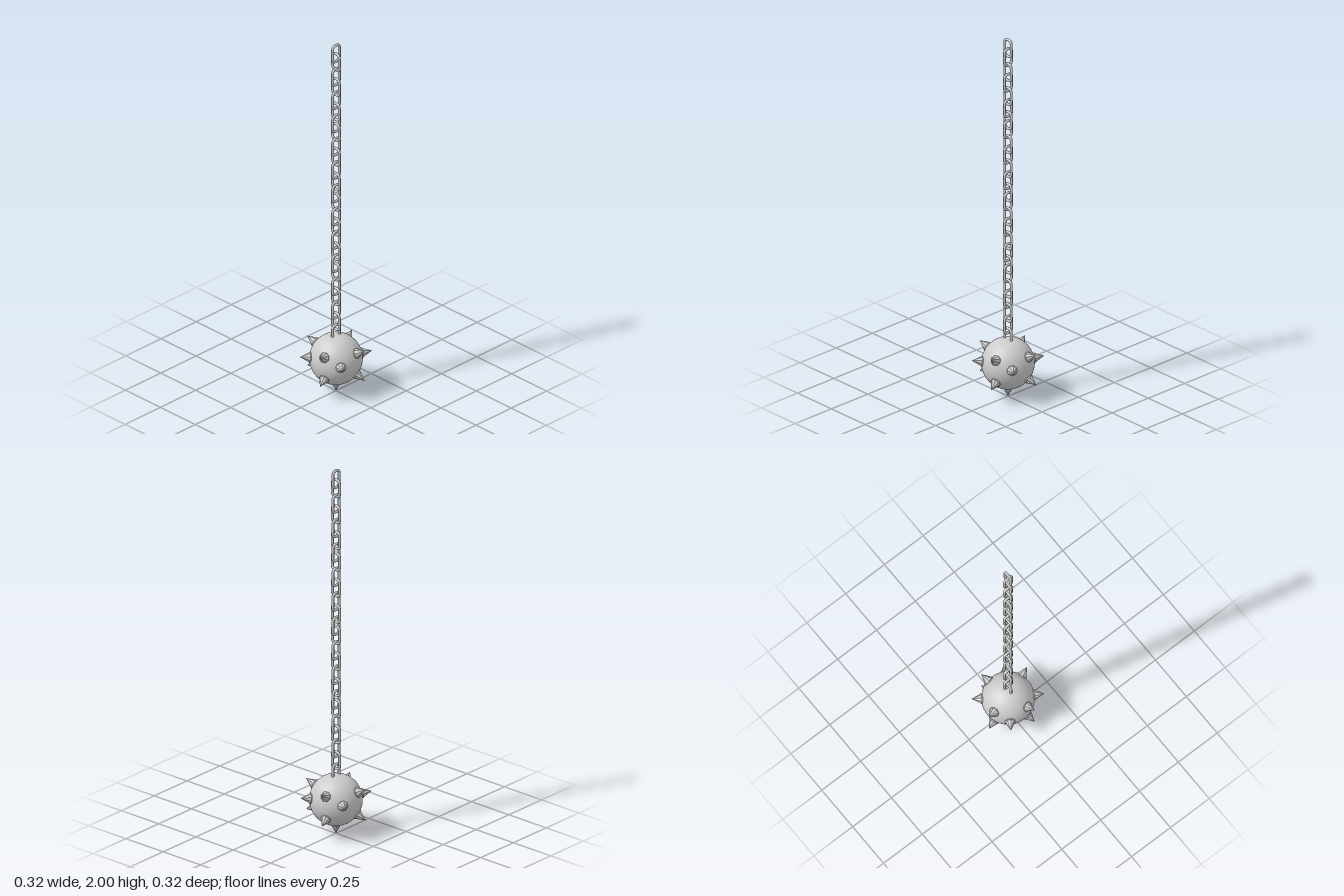
import * as THREE from 'three';

const BALL_Y = 0.187, BALL_R = 0.135, TIP = 0.187;

// Rounded oblong chain link, upright in the xy plane
function linkGeometry() {
  const w = 0.0235, h = 0.046, r = 0.017;
  const outline = new THREE.Shape();
  outline.absarc(w - r, h - r, r, 0, Math.PI / 2);
  outline.absarc(-w + r, h - r, r, Math.PI / 2, Math.PI);
  outline.absarc(-w + r, -h + r, r, Math.PI, Math.PI * 1.5);
  outline.absarc(w - r, -h + r, r, Math.PI * 1.5, Math.PI * 2);
  const points = outline.getPoints(2).map(p => new THREE.Vector3(p.x, p.y, 0));
  const path = new THREE.CatmullRomCurve3(points, true);
  return new THREE.TubeGeometry(path, 48, 0.0073, 8, true);
}

// Eight-sided spike with a collar, measured from the ball centre along +y
function spikeGeometry() {
  const profile = [[0.027, 0.12], [0.027, 0.138], [0.022, 0.144], [0, TIP]];
  return new THREE.LatheGeometry(profile.map(([x, y]) => new THREE.Vector2(x, y)), 8);
}

export function createModel() {
  const model = new THREE.Group();
  model.name = 'spikedBallOnChain';
  const smooth = new THREE.MeshStandardMaterial({ color: 0xcccccc });
  const faceted = new THREE.MeshStandardMaterial({ color: 0xcccccc, flatShading: true });

  // Ball
  const ball = new THREE.Mesh(new THREE.SphereGeometry(BALL_R, 48, 32), smooth);
  ball.name = 'ball';
  ball.position.y = BALL_Y;
  model.add(ball);

  // Spikes
  const spikes = new THREE.Group();
  spikes.name = 'spikes';
  spikes.position.y = BALL_Y;
  const spikeGeo = spikeGeometry();
  const up = new THREE.Vector3(0, 1, 0);
  const addSpike = (azimuth, elevation) => {
    const a = THREE.MathUtils.degToRad(azimuth), e = THREE.MathUtils.degToRad(elevation);
    const dir = new THREE.Vector3(Math.cos(e) * Math.cos(a), Math.sin(e), Math.cos(e) * Math.sin(a));
    const spike = new THREE.Mesh(spikeGeo, faceted);
    spike.name = 'spike';
    spike.quaternion.setFromUnitVectors(up, dir);
    spikes.add(spike);
  };
  for (let i = 0; i < 4; i++) {
    addSpike(-16 + 90 * i, 27);  // upper ring
    addSpike(34 + 90 * i, 8);    // middle ring
    addSpike(-16 + 90 * i, -27); // lower ring
  }
  addSpike(0, -90);
  model.add(spikes);

  // Chain: links alternate between the two upright planes
  const chain = new THREE.Group();
  chain.name = 'chain';
  const linkGeo = linkGeometry();
  const addLink = (y, turn) => {
    const link = new THREE.Mesh(linkGeo, smooth);
    link.name = 'chainLink';
    link.position.y = y;
    link.rotation.y = turn;
    chain.add(link);
  };
  for (let i = 0; i < 13; i++) addLink(1.9467 - 0.1344 * i, Math.PI / 2);
  for (let i = 0; i < 12; i++) addLink(1.897 - 0.403 * Math.floor(i / 3) - 0.143 * (i % 3), 0);
  model.add(chain);

  return model;
}
